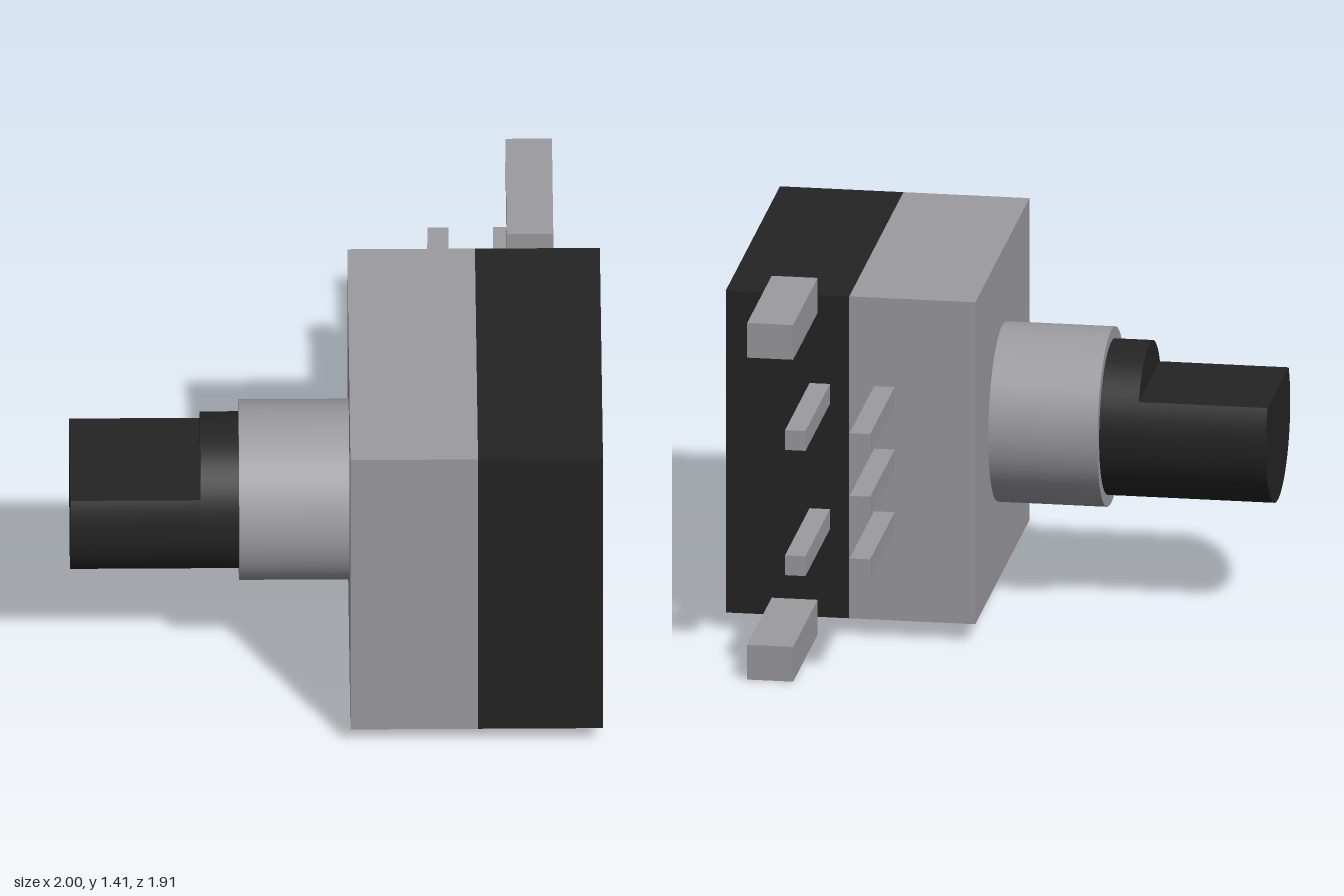
import * as THREE from 'three';
import { toCreasedNormals } from 'three/addons/utils/BufferGeometryUtils.js';

export function createModel() {
  const metal = new THREE.MeshStandardMaterial({ name: 'grey metal', color: 0x9b9ba0 });
  const plastic = new THREE.MeshStandardMaterial({ name: 'black plastic', color: 0x242424 });
  const model = new THREE.Group();
  model.name = 'rotaryControl';

  const axisY = 0.705, axisZ = 0.295; // shaft axis, running along x
  const shaftR = 0.295;

  const add = (name, geometry, material) => {
    const mesh = new THREE.Mesh(geometry, material);
    mesh.name = name;
    model.add(mesh);
    return mesh;
  };
  const box = (name, material, [x0, x1], [y0, y1], [z0, z1]) =>
    add(name, new THREE.BoxGeometry(x1 - x0, y1 - y0, z1 - z0), material)
      .position.set((x0 + x1) / 2, (y0 + y1) / 2, (z0 + z1) / 2);
  const rod = (name, material, r, x0, x1) =>
    add(name, new THREE.CylinderGeometry(r, r, x1 - x0, 64).rotateZ(Math.PI / 2), material)
      .position.set((x0 + x1) / 2, axisY, axisZ);

  // Two-part housing
  const bodyY = [0.07, 1.34], bodyZ = [-0.36, 0.955];
  box('frontHousing', metal, [0.05, 0.53], bodyY, bodyZ);
  box('rearHousing', plastic, [0.53, 1], bodyY, bodyZ);

  // Bushing and the round root of the shaft
  rod('bushing', metal, 0.34, -0.365, 0.05);
  rod('shaftRoot', plastic, shaftR, -0.51, -0.365);

  // Shaft tip with a flat on top
  const a = Math.asin(0.145 / shaftR);
  const profile = new THREE.Shape();
  profile.absarc(0, 0, shaftR, Math.PI - a, 2 * Math.PI + a, false);
  profile.closePath();
  const tip = new THREE.ExtrudeGeometry(profile, { depth: 0.49, bevelEnabled: false, curveSegments: 48 });
  tip.rotateY(-Math.PI / 2);
  add('shaftTip', toCreasedNormals(tip, 0.5), plastic).position.set(-0.51, axisY, axisZ);

  // Mounting lugs and solder pins
  const pinZ = [-0.955, -0.36];
  box('lowerLug', metal, [0.65, 0.825], [0, 0.137], pinZ);
  box('upperLug', metal, [0.65, 0.825], [1.27, 1.407], pinZ);
  for (const offset of [-0.247, 0, 0.247]) {
    const pinY = [axisY + offset - 0.039, axisY + offset + 0.039];
    box('frontPin', metal, [0.357, 0.435], pinY, pinZ);
    if (offset) box('rearPin', metal, [0.603, 0.681], pinY, pinZ);
  }
  return model;
}
